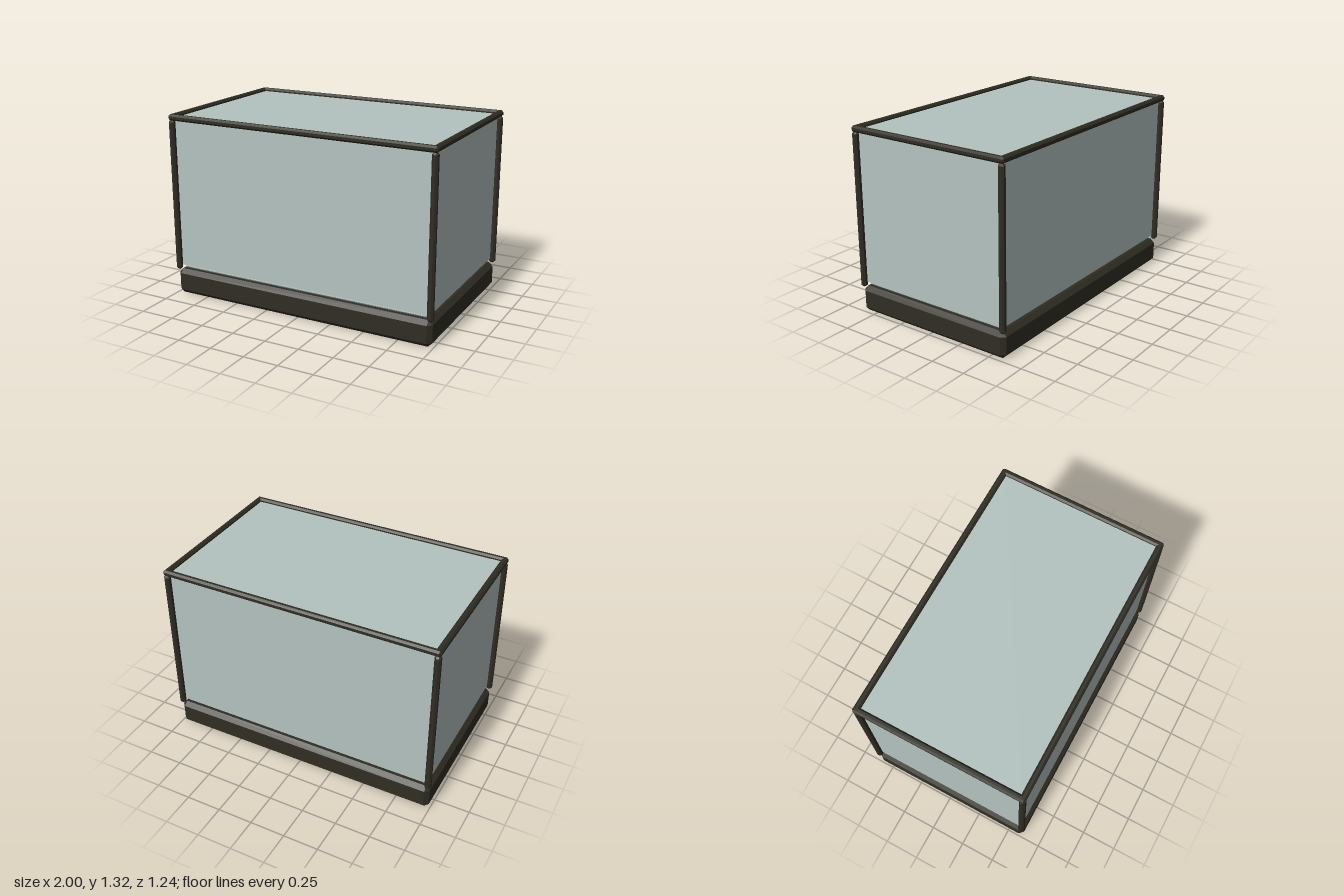
import * as THREE from 'three';
import { ConvexGeometry } from 'three/addons/geometries/ConvexGeometry.js';

// Box with all edges and corners cut at 45 degrees
function chamferBox(w, h, d, c) {
  const points = [];
  for (const sx of [-1, 1]) for (const sy of [-1, 1]) for (const sz of [-1, 1]) {
    const x = w / 2, y = h / 2, z = d / 2;
    points.push(
      new THREE.Vector3(sx * x, sy * (y - c), sz * (z - c)),
      new THREE.Vector3(sx * (x - c), sy * y, sz * (z - c)),
      new THREE.Vector3(sx * (x - c), sy * (y - c), sz * z)
    );
  }
  return new ConvexGeometry(points);
}

export function createModel() {
  const model = new THREE.Group();
  model.name = 'glassTank';

  const frame = new THREE.MeshStandardMaterial({ color: 0x2f2d23 });
  frame.name = 'dark frame';
  const glass = new THREE.MeshStandardMaterial({ color: 0xb4c3c0 });
  glass.name = 'pale glass';

  function add(name, geometry, material, x, y, z) {
    const mesh = new THREE.Mesh(geometry, material);
    mesh.name = name;
    mesh.position.set(x, y, z);
    model.add(mesh);
  }

  const T = 0.043;            // frame bar thickness
  const C = 0.0126;           // chamfer giving an octagonal bar
  const px = 0.9785, pz = 0.596;

  // Plinth
  add('base', chamferBox(1.98, 0.185, 1.22, 0.03), frame, 0, 0.0925, 0);

  // Tank floor and glass walls
  add('tankFloor', chamferBox(1.9, 0.033, 1.14, 0.013), glass, 0, 0.2025, 0);
  add('glassTankWalls', new THREE.BoxGeometry(1.934, 1.085, 1.172), glass, 0, 0.7575, 0);

  // Corner posts
  const post = chamferBox(T, 1.096, T, C);
  for (const sx of [-1, 1]) for (const sz of [-1, 1])
    add('cornerPost', post, frame, sx * px, 0.733, sz * pz);

  // Top rim
  const longBar = chamferBox(2, T, T, C);
  const shortBar = chamferBox(T, T, 1.215, C);
  for (const s of [-1, 1]) {
    add('topLongBar', longBar, frame, 0, 1.301, s * pz);
    add('topShortBar', shortBar, frame, s * px, 1.301, 0);
  }

  return model;
}
